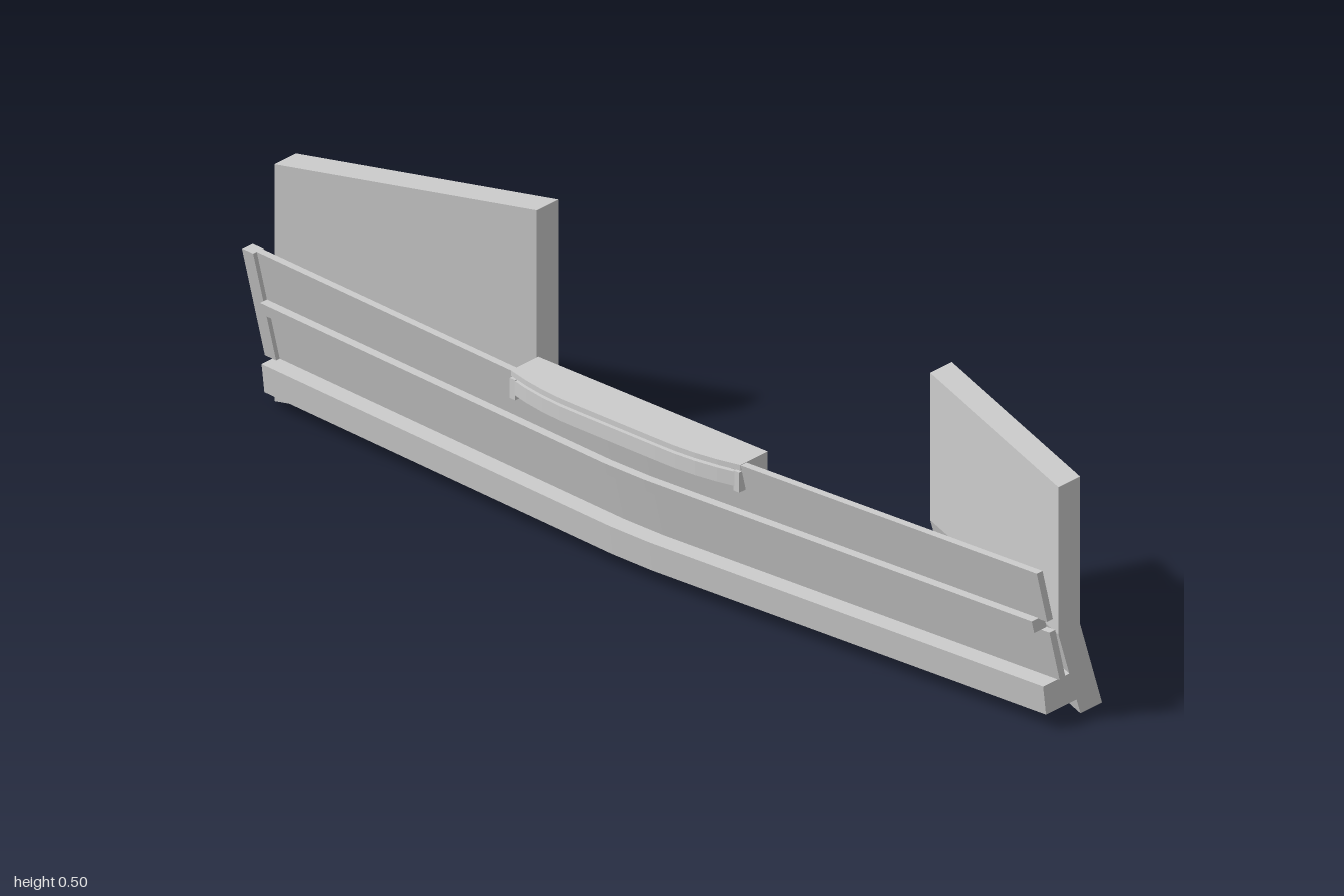
import * as THREE from 'three';

const material = new THREE.MeshStandardMaterial({ color: 0xcccccc, flatShading: true });

// Sweeps a counter-clockwise [z, y] section along x; each station is [x, z shift].
function loft(name, section, stations) {
  const pos = [];
  const point = ([x, dz], [z, y]) => [x, y, z + dz];
  const tri = (...pts) => pts.forEach((p) => pos.push(...p));
  const n = section.length;
  for (let s = 0; s < stations.length - 1; s++) {
    const a = stations[s], b = stations[s + 1];
    for (let i = 0; i < n; i++) {
      const p = section[i], q = section[(i + 1) % n];
      tri(point(a, p), point(b, p), point(b, q));
      tri(point(a, p), point(b, q), point(a, q));
    }
  }
  const first = stations[0], last = stations[stations.length - 1];
  const caps = THREE.ShapeUtils.triangulateShape(section.map(([z, y]) => new THREE.Vector2(z, y)), []);
  for (const [i, j, k] of caps) {
    tri(point(first, section[i]), point(first, section[j]), point(first, section[k]));
    tri(point(last, section[i]), point(last, section[k]), point(last, section[j]));
  }
  const geometry = new THREE.BufferGeometry();
  geometry.setAttribute('position', new THREE.Float32BufferAttribute(pos, 3));
  geometry.computeVertexNormals();
  const mesh = new THREE.Mesh(geometry, material);
  mesh.name = name;
  return mesh;
}

// Shallow bow shared by the long parts: zero shift at x = 1, forward at the middle.
const bow = (x) => 0.06 * (1 - Math.abs(x));
const bowed = (from, to) => [from, -0.05, 0.05, to].map((x) => [x, bow(x)]);

// Front of the leaning panels at x = 1.
const lean = (y) => 0.09 + (y - 0.095) * 0.257;
const slab = (y0, y1, front, back) => [
  [lean(y0) - back, y0], [lean(y0) + front, y0], [lean(y1) + front, y1], [lean(y1) - back, y1],
];

// Extrudes a plan outline of [x, z] points between two heights.
function plate(name, outline, y0, y1) {
  const shape = new THREE.Shape(outline.map(([x, z]) => new THREE.Vector2(x, -z)));
  const geometry = new THREE.ExtrudeGeometry(shape, { depth: y1 - y0, bevelEnabled: false });
  geometry.rotateX(-Math.PI / 2).translate(0, y0, 0);
  const mesh = new THREE.Mesh(geometry, material);
  mesh.name = name;
  return mesh;
}

// Plan curve of the handle front, from left to right.
function handleArc(front, steps = 12) {
  return Array.from({ length: steps + 1 }, (_, i) => {
    const x = -0.29 + (0.58 * i) / steps;
    const t = Math.max(0, (Math.abs(x) - 0.12) / 0.17);
    return [x, front - 0.024 * t * t];
  });
}

export function createModel() {
  const group = new THREE.Group();

  // Long bowed front: lower beam, two leaning panels and the raised strip between them
  group.add(loft('lowerBeam', [[0.035, 0.033], [0.122, 0.033], [0.13, 0.095], [0.03, 0.095]], bowed(-0.98, 0.995)));
  group.add(loft('lowerPanel', slab(0.095, 0.205, 0, 0.016), bowed(-0.97, 1)));
  group.add(loft('upperPanel', slab(0.23, 0.342, 0, 0.016), bowed(-0.97, 1)));
  group.add(loft('trimStrip', slab(0.205, 0.232, 0.019, 0.015), bowed(-0.97, 0.98)));

  // Leaning plate closing one end
  group.add(loft('endPlate', slab(0.095, 0.342, 0.01, 0.02), [-1, -0.97].map((x) => [x, bow(x)])));

  // Rear side plates, one straight and one with a kicked-back lower part
  group.add(loft('rightSidePlate', [[0.03, 0], [0.09, 0], [0.09, 0.497], [0.03, 0.497]],
    [[-0.985, 0], [-0.495, -0.19]]));
  group.add(loft('leftSidePlate',
    [[-0.033, 0], [0.027, 0], [0.088, 0.188], [0.088, 0.497], [0.028, 0.497], [0.028, 0.188]],
    [[0.5, -0.187], [0.995, 0]]));

  // Handle: housing behind the panel, lid on top and curved grip in front
  const handle = new THREE.Group();
  handle.name = 'handle';
  const back = [[0.29, 0.121], [-0.29, 0.121]];
  handle.add(plate('handleHousing', [...back, [-0.29, 0.178], [0, 0.186], [0.29, 0.178]], 0.281, 0.34));
  handle.add(plate('handleLid', [...back, ...handleArc(0.221)], 0.332, 0.343));
  handle.add(plate('handleGrip', [...handleArc(0.221), ...handleArc(0.211).reverse()], 0.296, 0.326));
  for (const side of [-1, 1]) {
    const bracket = new THREE.Mesh(new THREE.BoxGeometry(0.014, 0.042, 0.03), material);
    bracket.position.set(side * 0.283, 0.307, 0.185);
    bracket.name = 'gripBracket';
    handle.add(bracket);
  }
  group.add(handle);
  return group;
}
